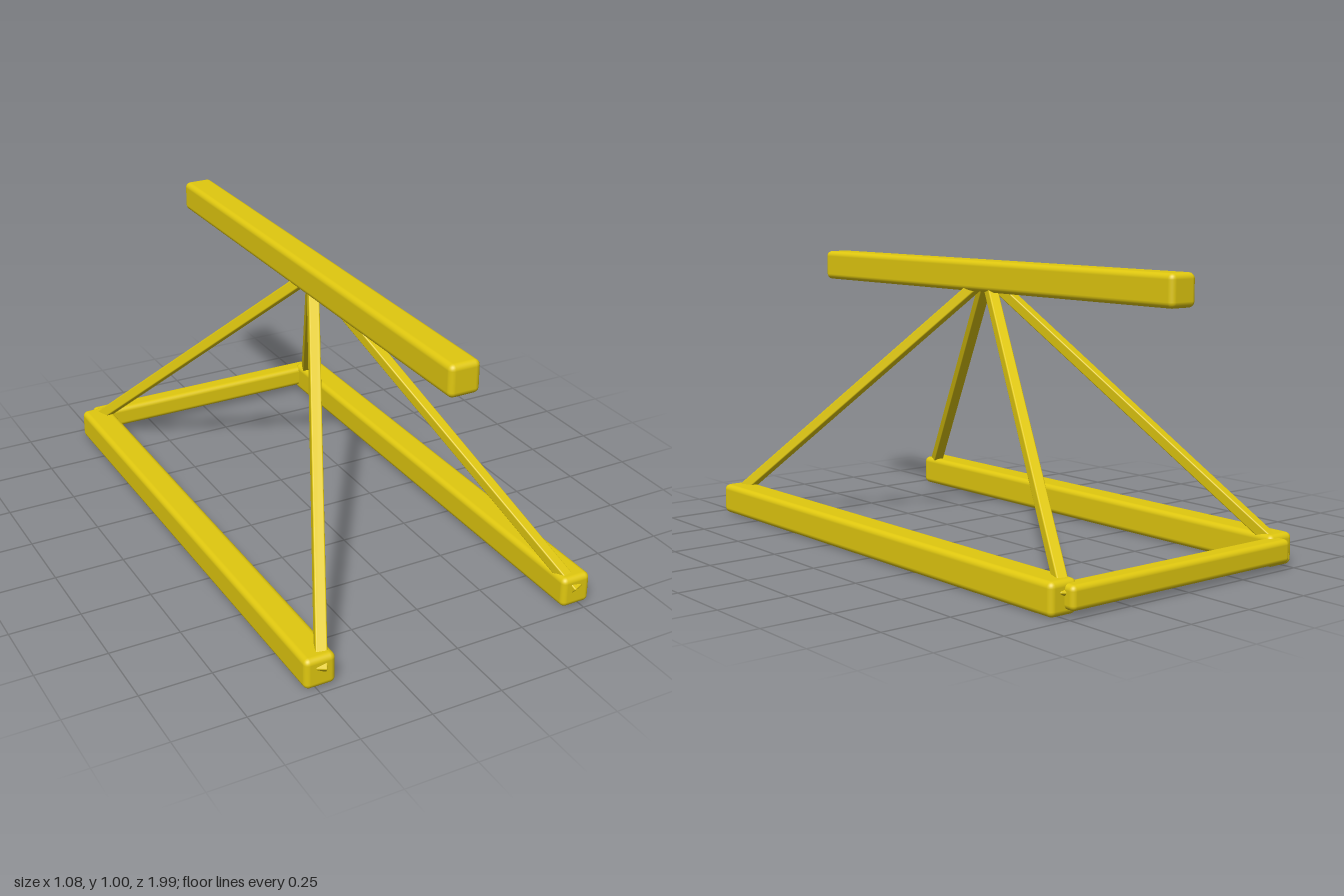
import * as THREE from 'three';
import { RoundedBoxGeometry } from 'three/addons/geometries/RoundedBoxGeometry.js';

export function createModel() {
  const group = new THREE.Group();
  const yellow = new THREE.MeshStandardMaterial({ color: 0xe0c80f });
  yellow.name = 'yellow';

  const bar = (name, w, h, d, radius, x, y, z) => {
    const mesh = new THREE.Mesh(new RoundedBoxGeometry(w, h, d, 3, radius), yellow);
    mesh.name = name;
    mesh.position.set(x, y, z);
    group.add(mesh);
    return mesh;
  };

  // Three long parallel beams: one on top, two at the base
  const size = 0.11, length = 1.935, midZ = 0.008, halfWidth = 0.484;
  bar('topBeam', size, size, length, 0.02, 0, 0.945, midZ);
  bar('leftBaseBeam', size, size, length, 0.02, halfWidth, 0.056, midZ);
  bar('rightBaseBeam', size, size, length, 0.02, -halfWidth, 0.056, midZ);

  // Cross bar joining the base beams at the back
  bar('backCrossBar', 0.97, 0.08, 0.074, 0.018, 0, 0.06, -0.96);

  // Four diagonal struts from the base corners to the middle of the top beam
  const apex = new THREE.Vector3(0, 0.945, midZ);
  const forward = new THREE.Vector3(0, 0, 1);
  for (const sx of [1, -1]) {
    for (const sz of [1, -1]) {
      const foot = new THREE.Vector3(sx * halfWidth, 0.06, midZ + sz * 0.965);
      const dir = foot.clone().sub(apex);
      const mid = foot.clone().add(apex).multiplyScalar(0.5);
      const name = (sz > 0 ? 'front' : 'back') + (sx > 0 ? 'Left' : 'Right') + 'Strut';
      const strut = bar(name, 0.038, 0.038, dir.length(), 0.005, mid.x, mid.y, mid.z);
      strut.quaternion.setFromUnitVectors(forward, dir.normalize().multiplyScalar(sz));
    }
  }
  return group;
}
